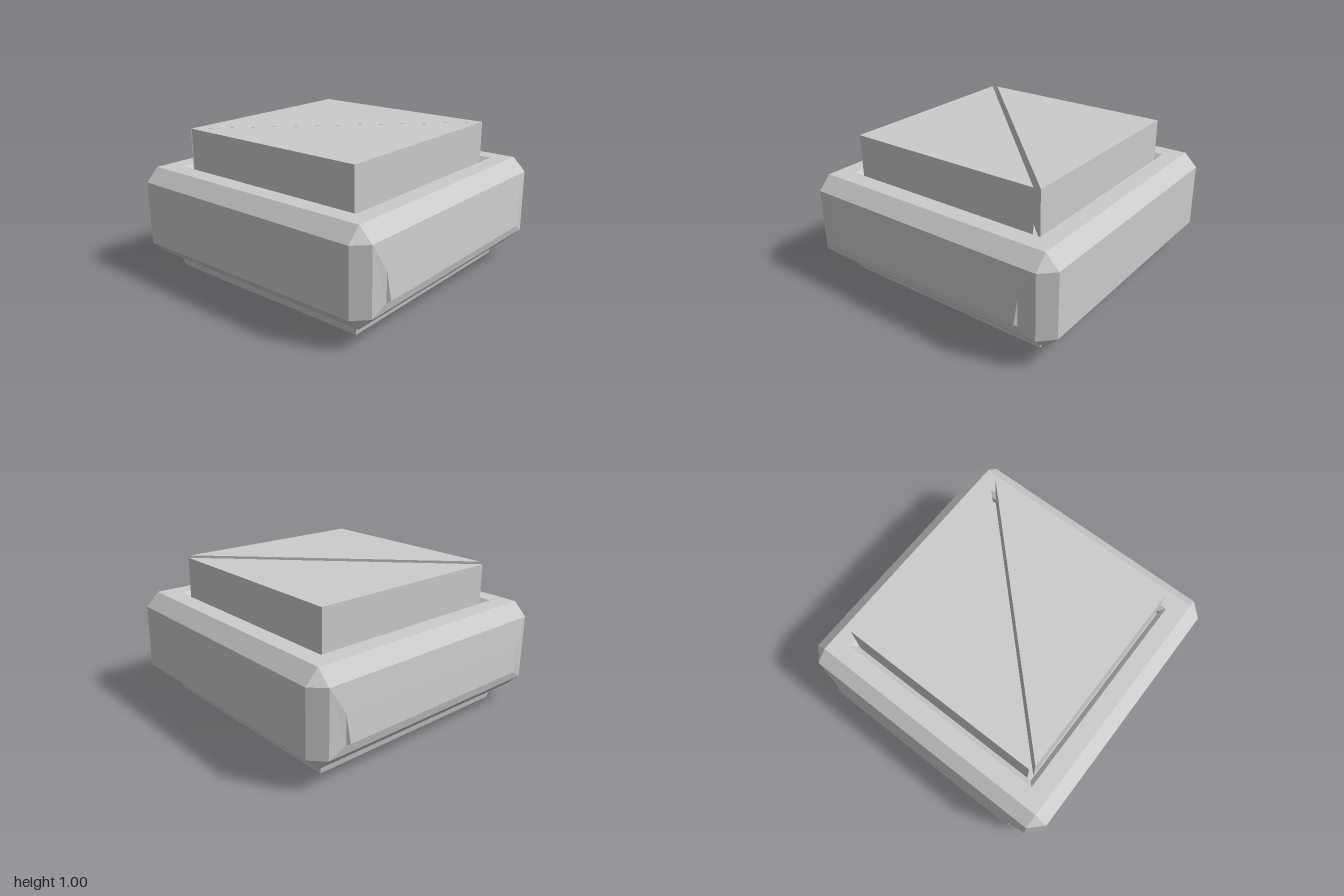
import * as THREE from 'three';

const grey = new THREE.MeshStandardMaterial({ color: 0xcccccc, flatShading: true });

// Skins a list of equal-length point loops into a faceted surface
function loft(loops) {
  const pos = [];
  const tri = (a, b, c) => {
    const area = new THREE.Vector3().subVectors(b, a).cross(new THREE.Vector3().subVectors(c, a));
    if (area.length() > 1e-9) for (const p of [a, b, c]) pos.push(p.x, p.y, p.z);
  };
  for (let i = 0; i < loops.length - 1; i++) {
    const lower = loops[i], upper = loops[i + 1], n = lower.length;
    for (let j = 0; j < n; j++) {
      const k = (j + 1) % n;
      tri(lower[j], upper[j], lower[k]);
      tri(lower[k], upper[j], upper[k]);
    }
  }
  const g = new THREE.BufferGeometry();
  g.setAttribute('position', new THREE.Float32BufferAttribute(pos, 3));
  g.computeVertexNormals();
  return g;
}

// Square loop at height y: half width h, corners cut back to c
function square(y, h, c = h) {
  const loop = [];
  for (let q = 0, a = [h, c], b = [c, h]; q < 4; q++) {
    loop.push(new THREE.Vector3(a[0], y, a[1]), new THREE.Vector3(b[0], y, b[1]));
    a = [-a[1], a[0]];
    b = [-b[1], b[0]];
  }
  return loop;
}

// Four-cornered loop on the side: lower and upper [half depth, y, x]
function sideLoop([zl, yl, xl], [zu, yu, xu]) {
  return [[xl, yl, -zl], [xl, yl, zl], [xu, yu, zu], [xu, yu, -zu]].map(p => new THREE.Vector3(...p));
}

export function createModel() {
  const model = new THREE.Group();
  model.name = 'squareSwitch';
  // The whole block leans back very slightly
  const block = new THREE.Group();
  block.name = 'block';
  block.rotation.x = 0.008;
  block.position.y = 0.007;
  model.add(block);

  const add = (name, geometry) => {
    const mesh = new THREE.Mesh(geometry, grey);
    mesh.name = name;
    block.add(mesh);
    return mesh;
  };

  // Tapered foot
  add('base', loft([square(0, 0), square(0, 0.78), square(0.13, 0.805), square(0.13, 0)]));

  // Chamfered housing with a square recess in its top
  add('housing', loft([
    square(0.11, 0), square(0.11, 0.875),
    square(0.2, 0.965, 0.875), square(0.635, 0.965, 0.875),
    square(0.725, 0.875), square(0.725, 0.755),
    square(0.695, 0.725), square(0.65, 0.725), square(0.65, 0),
  ]));

  // Bulging side panels with a ledge along the bottom
  const panel = loft([
    sideLoop([0.875, 0.2, 0.965], [0.875, 0.635, 0.965]),
    sideLoop([0.765, 0.265, 0.98], [0.77, 0.46, 0.983]),
    sideLoop([0.75, 0.275, 1], [0.77, 0.46, 0.983]),
    sideLoop([0, 0.3675, 0.9915], [0, 0.3675, 0.9915]),
  ]);
  add('leftSidePanel', panel);
  add('rightSidePanel', panel).rotation.y = Math.PI;

  // Two triangular keys separated by a diagonal slot
  const key = (name, s, gap, top) => {
    const h = 0.715 * s, e = -h + gap;
    const shape = new THREE.Shape([[h, -h], [h, -e], [e, -h]].map(p => new THREE.Vector2(...p)));
    const g = new THREE.ExtrudeGeometry(shape, { depth: top - 0.65, bevelEnabled: false });
    g.rotateX(-Math.PI / 2).translate(0, 0.65, 0);
    add(name, g);
  };
  key('frontKey', 1, 0.035, 0.988);
  key('backKey', -1, -0.02, 0.98);

  return model;
}
